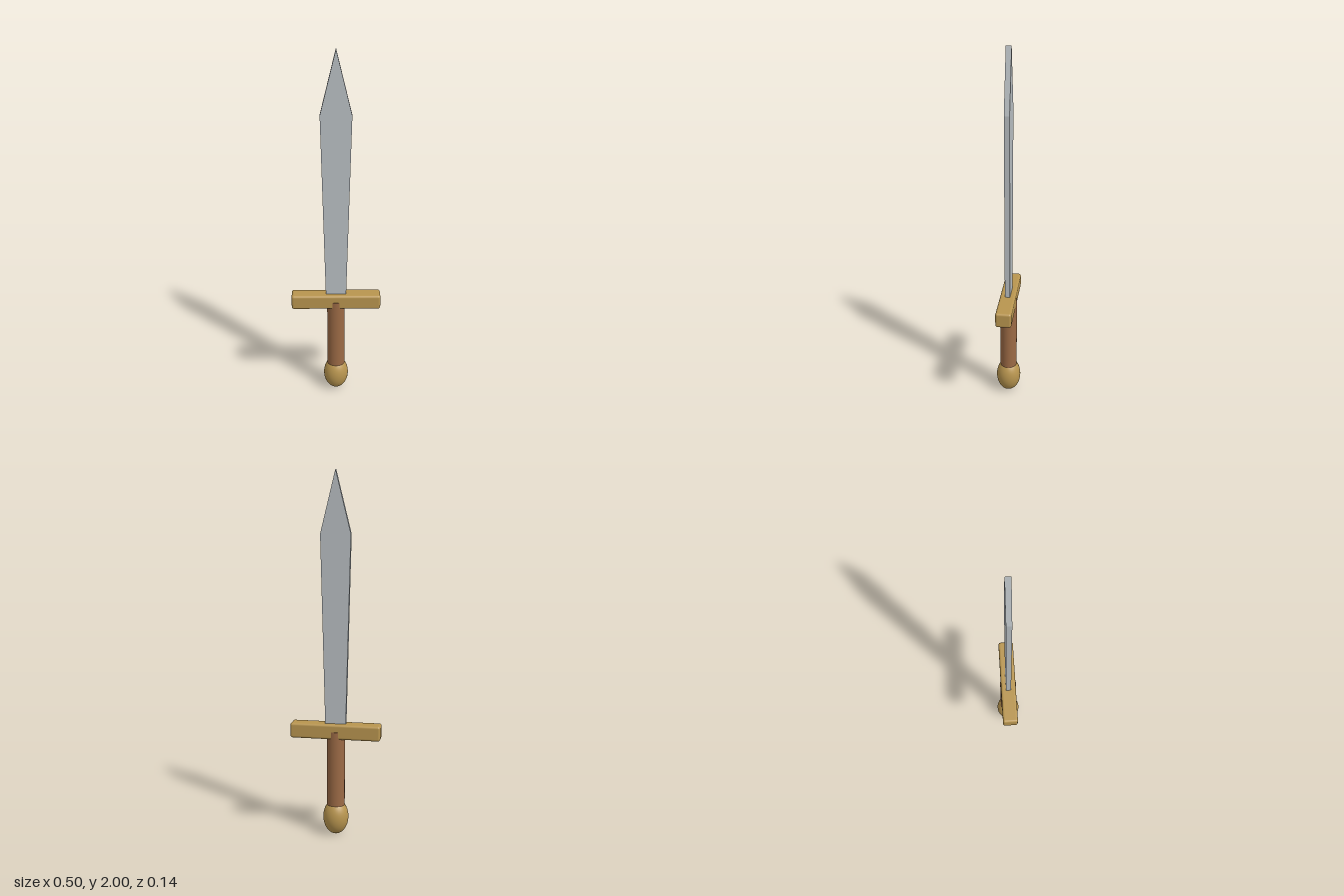
import * as THREE from 'three';
import { RoundedBoxGeometry } from 'three/addons/geometries/RoundedBoxGeometry.js';

const material = (name, color) => {
  const m = new THREE.MeshStandardMaterial({ color });
  m.name = name;
  return m;
};

export function createModel() {
  const group = new THREE.Group();
  group.name = 'sword';
  const steel = material('steel', 0xb9bfc3);
  const brass = material('brass', 0xb8954f);
  const leather = material('leather', 0x9b6a45);

  const add = (name, geometry, mat, y) => {
    const mesh = new THREE.Mesh(geometry, mat);
    mesh.name = name;
    mesh.position.y = y;
    group.add(mesh);
    return mesh;
  };

  // Flat blade, widening towards the shoulders and then tapering to a point
  const outline = new THREE.Shape([
    [-0.056, 0.6], [0.056, 0.6], [0.082, 1.67], [0, 2], [-0.082, 1.67],
  ].map(([x, y]) => new THREE.Vector2(x, y)));
  const depth = 0.029;
  const blade = new THREE.ExtrudeGeometry(outline, { depth, bevelEnabled: false });
  blade.translate(0, 0, -depth / 2);
  add('blade', blade, steel, 0);

  // Crossguard with softened edges
  add('guard', new RoundedBoxGeometry(0.5, 0.084, 0.087, 4, 0.013), brass, 0.6);

  // Slightly oval grip, ending inside the guard
  const grip = add('grip', new THREE.CylinderGeometry(0.05, 0.05, 0.47, 32), leather, 0.365);
  grip.scale.z = 0.94;

  // Egg-shaped pommel
  const pommel = add('pommel', new THREE.SphereGeometry(1, 32, 24), brass, 0.1);
  pommel.scale.set(0.071, 0.1, 0.069);

  return group;
}
